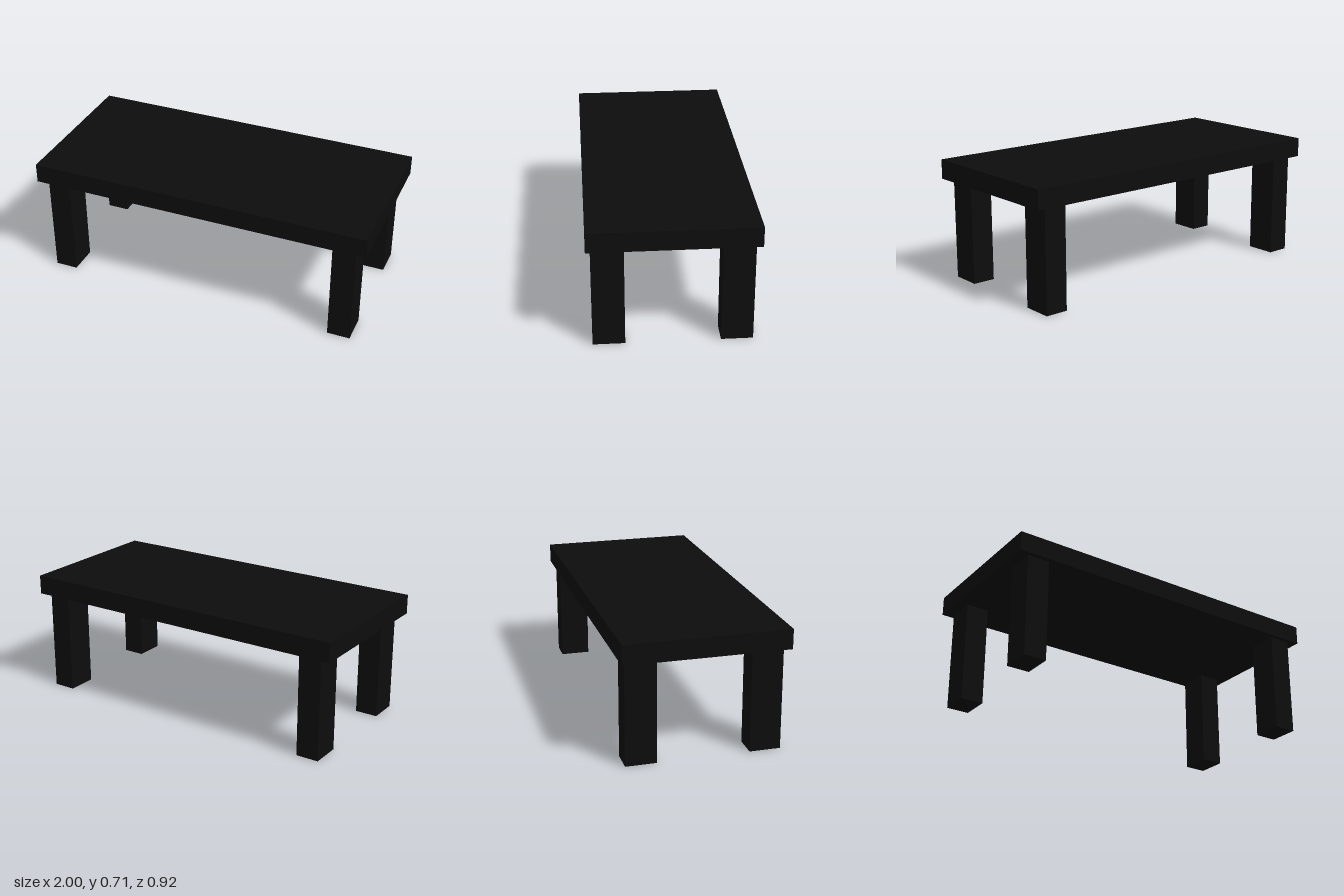
import * as THREE from 'three';

const TOP_Y = 0.708, UNDERSIDE_Y = 0.595;

export function createModel() {
  const table = new THREE.Group();
  table.name = 'table';
  const black = new THREE.MeshStandardMaterial({ color: 0x0d0d0d });

  const addBox = (name, w, h, d, x, y, z) => {
    const mesh = new THREE.Mesh(new THREE.BoxGeometry(w, h, d), black);
    mesh.name = name;
    mesh.position.set(x, y, z);
    table.add(mesh);
  };

  // Thick rectangular slab
  addBox('tabletop', 2, TOP_Y - UNDERSIDE_Y, 0.924, 0, (TOP_Y + UNDERSIDE_Y) / 2, 0);

  // Four rectangular legs, slightly inset from the edges
  for (const [side, sx] of [['Left', 1], ['Right', -1]]) {
    for (const [end, sz] of [['front', 1], ['back', -1]]) {
      addBox(`${end}${side}Leg`, 0.133, UNDERSIDE_Y, 0.176, sx * 0.872, UNDERSIDE_Y / 2, sz * 0.348);
    }
  }
  return table;
}
